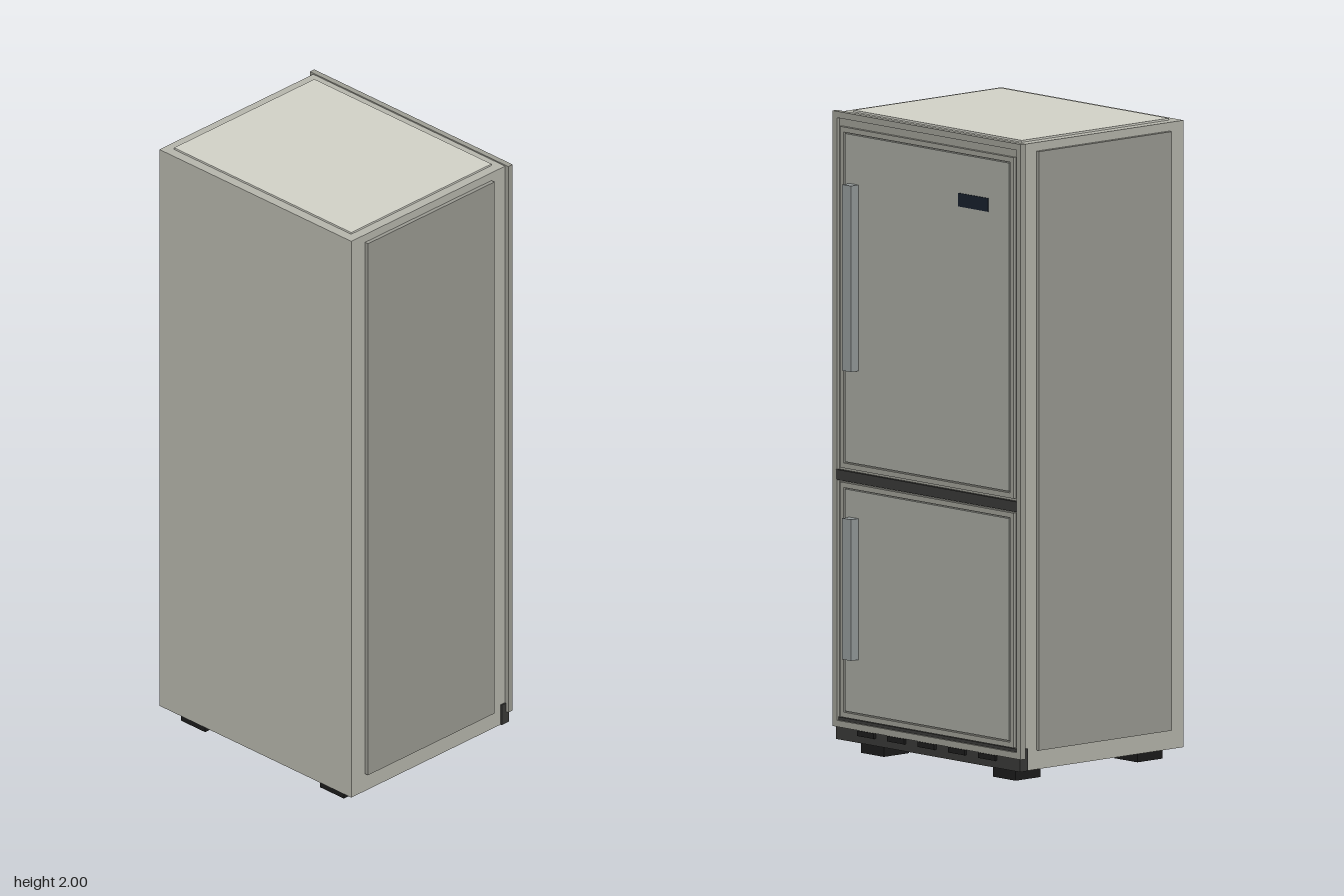
import * as THREE from 'three';

const mat = (color) => new THREE.MeshStandardMaterial({ color });

export function createModel() {
  const root = new THREE.Group();
  const shell = mat(0xb8b8ae), side = mat(0x9c9c94), lid = mat(0xd4d4ca);
  const trim = mat(0xa0a097), panel = mat(0xa8aaa2), metal = mat(0x969c9c);
  const dark = mat(0x3a3a38), black = mat(0x1c1c1c), navy = mat(0x18202c);

  // Box given by its extents on each axis
  function box(name, [x0, x1], [y0, y1], [z0, z1], material) {
    const mesh = new THREE.Mesh(new THREE.BoxGeometry(x1 - x0, y1 - y0, z1 - z0), material);
    mesh.position.set((x0 + x1) / 2, (y0 + y1) / 2, (z0 + z1) / 2);
    mesh.name = name;
    root.add(mesh);
  }

  // Rectangular picture-frame ring
  function frame(name, halfW, [y0, y1], border, [z0, z1], material) {
    const rect = (Target, w, a, b) => {
      const p = new Target();
      p.moveTo(-w, a); p.lineTo(w, a); p.lineTo(w, b); p.lineTo(-w, b); p.closePath();
      return p;
    };
    const shape = rect(THREE.Shape, halfW, y0, y1);
    shape.holes.push(rect(THREE.Path, halfW - border, y0 + border, y1 - border));
    const mesh = new THREE.Mesh(
      new THREE.ExtrudeGeometry(shape, { depth: z1 - z0, bevelEnabled: false }), material);
    mesh.position.z = z0;
    mesh.name = name;
    root.add(mesh);
  }

  // Cabinet with raised top and side panels
  box('cabinet', [-0.415, 0.415], [0.04, 1.994], [-0.313, 0.36], shell);
  box('topPanel', [-0.383, 0.383], [1.99, 2], [-0.285, 0.328], lid);
  box('leftSidePanel', [0.41, 0.428], [0.1, 1.967], [-0.253, 0.3], side);
  box('rightSidePanel', [-0.428, -0.41], [0.1, 1.967], [-0.253, 0.3], side);

  // Door surround and dark strip between the doors
  box('doorBacking', [-0.425, 0.425], [0.085, 1.995], [-0.32, -0.312], trim);
  frame('doorSurround', 0.429, [0.08, 1.998], 0.02, [-0.331, -0.312], trim);
  box('doorDivider', [-0.412, 0.412], [0.85, 0.882], [-0.332, -0.315], dark);

  // Doors: rim, inset panel and bar handle
  const doors = [
    { name: 'upper', y: [0.91, 1.933], handle: [1.2, 1.78] },
    { name: 'lower', y: [0.133, 0.825], handle: [0.3, 0.74] },
  ];
  for (const { name, y, handle } of doors) {
    frame(name + 'DoorRim', 0.395, [y[0] - 0.02, y[1] + 0.02], 0.016, [-0.331, -0.316], trim);
    box(name + 'DoorPanel', [-0.373, 0.373], y, [-0.329, -0.316], panel);
    box(name + 'DoorHandle', [0.313, 0.353], handle, [-0.36, -0.326], metal);
  }
  box('badge', [-0.28, -0.145], [1.77, 1.812], [-0.332, -0.326], navy);

  // Kick plate with vent slots
  box('kickPlate', [-0.42, 0.42], [0.04, 0.11], [-0.325, -0.293], dark);
  for (let i = -2; i <= 2; i++) {
    const x = i * 0.138;
    box('kickVent', [x - 0.038, x + 0.038], [0.063, 0.08], [-0.334, -0.32], black);
  }

  // Feet
  for (const x of [-0.3, 0.3]) {
    for (const z of [-0.23, 0.277]) {
      box('foot', [x - 0.052, x + 0.052], [0, 0.042], [z - 0.052, z + 0.052], black);
    }
  }
  return root;
}
